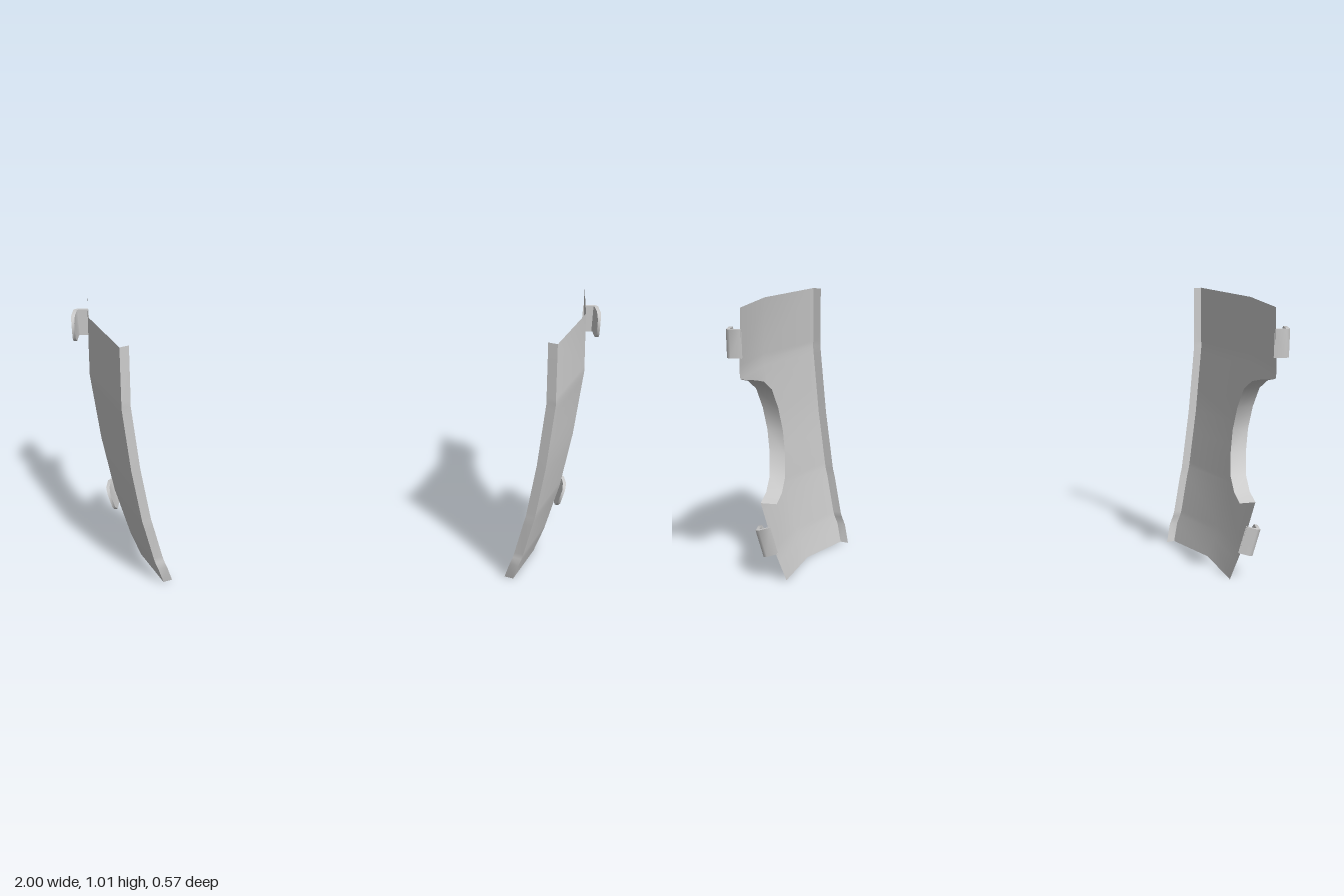
import * as THREE from 'three';
import { toCreasedNormals } from 'three/addons/utils/BufferGeometryUtils.js';

const BACK = -0.275;

// piecewise linear lookup through [key, value] pairs
function lookup(table, k) {
  let i = 1;
  while (i < table.length - 1 && k > table[i][0]) i++;
  const [a, b] = [table[i - 1], table[i]];
  return THREE.MathUtils.lerp(a[1], b[1], (k - a[0]) / (b[0] - a[0]));
}

// [y, x] bulge of the panel along its back edge
const bulge = [[0, 0.817], [0.1, 0.852], [0.295, 0.9], [0.52, 0.934], [0.78, 0.957], [1.01, 0.945]];
// [y, z] front edge
const frontEdge = [[0, 0.2], [0.07, 0.222], [0.12, 0.222], [0.26, 0.245], [0.52, 0.268], [0.8, 0.282], [1.01, 0.275]];
// [y, z] round cutout in the back edge
const cutout = [[0.295, BACK], [0.315, -0.2], [0.36, -0.13], [0.435, -0.085], [0.52, -0.06],
  [0.61, -0.08], [0.69, -0.125], [0.733, -0.2], [0.752, BACK]];

// point on the panel: bent once at z = 0, bulging along y
function onPanel(y, z) {
  const x = lookup(bulge, y) - 0.042 * (Math.min(z, 0) - BACK) / -BACK - 0.53 * Math.max(z, 0);
  return new THREE.Vector3(x, y, z);
}

// smooth skin through rows of points
function skin(rows, closed = false) {
  const n = rows[0].length, index = [];
  for (let r = 0; r < rows.length - 1; r++) {
    for (let c = 0; c < (closed ? n : n - 1); c++) {
      const a = r * n + c, b = r * n + (c + 1) % n;
      index.push(a, b, a + n, b, b + n, a + n);
    }
  }
  const g = new THREE.BufferGeometry().setFromPoints(rows.flat());
  g.setIndex(index);
  g.computeVertexNormals();
  return g;
}

const material = new THREE.MeshStandardMaterial({ color: 0xcccccc, side: THREE.DoubleSide });

function part(name, geometry) {
  const mesh = new THREE.Mesh(geometry, material);
  mesh.name = name;
  return mesh;
}

// strip folded inward from an edge
function lip(name, points, fold) {
  return part(name, skin(points.map(p => [p.clone().add(fold), p])));
}

// hooked clip: a thin plate that leaves the back edge and bends forward
function clip(name, y, tilt) {
  // outer x, outer z, inner x, inner z, half height
  const stations = [
    [-0.005, -0.277, -0.005, -0.263, 0.052],
    [0.035, -0.277, 0.032, -0.263, 0.052],
    [0.049, -0.265, 0.035, -0.258, 0.052],
    [0.049, -0.205, 0.035, -0.205, 0.052],
    [0.047, -0.182, 0.036, -0.182, 0.03],
  ];
  const rows = stations.map(([ox, oz, ix, iz, h]) => [
    new THREE.Vector3(ox, -h, oz), new THREE.Vector3(ox, h, oz),
    new THREE.Vector3(ix, h, iz), new THREE.Vector3(ix, -h, iz)]);
  const g = skin(rows, true);
  // close the free end
  const e = (rows.length - 1) * 4;
  g.setIndex([...g.index.array, e, e + 1, e + 2, e, e + 2, e + 3]);
  const mesh = part(name, toCreasedNormals(g, 0.9));
  mesh.position.set(lookup(bulge, y), y, 0);
  mesh.rotation.z = tilt;
  return mesh;
}

function sidePanel(name) {
  const group = new THREE.Group();
  group.name = name;

  // curved plate, one row per height
  const heights = [...new Set([...bulge, ...frontEdge, ...cutout].map(p => p[0]))].sort((a, b) => a - b);
  const inCut = y => y > cutout[0][0] && y < cutout[cutout.length - 1][0];
  const rows = heights.map(y => {
    const back = inCut(y) ? lookup(cutout, y) : BACK;
    return [lookup(frontEdge, y), 0, back].map(z => onPanel(y, z));
  });
  group.add(part('plate', skin(rows)));

  // folded edges
  group.add(lip('frontLip', rows.map(r => r[0]), new THREE.Vector3(-0.031, 0, -0.016)));
  group.add(lip('cutoutLip', cutout.map(([y, z]) => onPanel(y, z)).reverse(), new THREE.Vector3(-0.06, 0, -0.016)));

  group.add(clip('upperClip', 0.88, 0));
  group.add(clip('lowerClip', 0.15, -0.25));
  return group;
}

export function createModel() {
  const model = new THREE.Group();
  model.name = 'sidePanels';
  const left = sidePanel('leftPanel');
  const right = sidePanel('rightPanel');
  right.scale.x = -1;
  model.add(left, right);
  return model;
}
